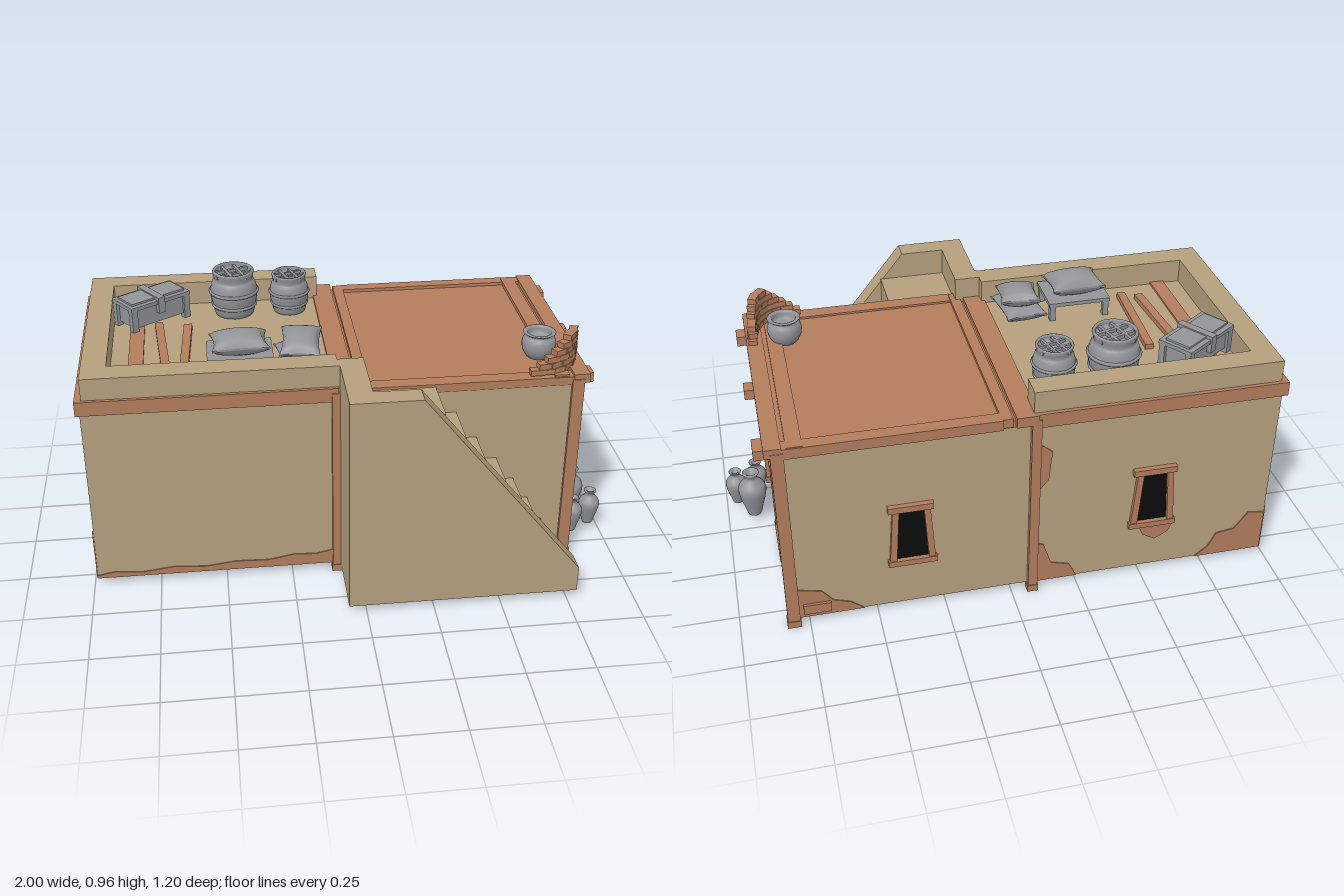
import * as THREE from 'three';

const material = (name, color, side = THREE.FrontSide) => {
  const m = new THREE.MeshStandardMaterial({ color, side });
  m.name = name;
  return m;
};

export function createModel() {
  const tan = material('sun dried plaster', 0xb5a07d, THREE.DoubleSide);
  const brown = material('clay brown', 0xb37d5d);
  const grey = material('plain grey', 0x929498, THREE.DoubleSide);
  const black = material('dark opening', 0x0b0b0b, THREE.DoubleSide);
  const model = new THREE.Group();
  model.name = 'mudBrickHouse';

  const add = (parent, name, geometry, mat) => {
    const mesh = new THREE.Mesh(geometry, mat);
    mesh.name = name;
    parent.add(mesh);
    return mesh;
  };
  // Box given by its low and high limits on each axis
  const box = (parent, name, mat, x0, x1, y0, y1, z0, z1) => {
    const mesh = add(parent, name, new THREE.BoxGeometry(x1 - x0, y1 - y0, z1 - z0), mat);
    mesh.position.set((x0 + x1) / 2, (y0 + y1) / 2, (z0 + z1) / 2);
    return mesh;
  };
  // Flat outline with a thickness
  const panel = (parent, name, mat, pts, depth, z = 0) => {
    const shape = new THREE.Shape(pts.map(([x, y]) => new THREE.Vector2(x, y)));
    const mesh = add(parent, name, new THREE.ExtrudeGeometry(shape, { depth, bevelEnabled: false }), mat);
    mesh.position.z = z;
    return mesh;
  };
  const group = (name, parent = model) => {
    const g = new THREE.Group();
    g.name = name;
    parent.add(g);
    return g;
  };
  const rect = (C, x0, x1, y0, y1) => new C([[x0, y0], [x1, y0], [x1, y1], [x0, y1]].map(p => new THREE.Vector2(...p)));

  // Hollow walls, open below
  const plan = rect(THREE.Shape, -0.985, 0.8, -0.315, 0.58);
  plan.holes.push(rect(THREE.Path, -0.981, 0.796, -0.311, 0.576));
  const walls = add(model, 'walls', new THREE.ExtrudeGeometry(plan, { depth: 0.73, bevelEnabled: false }), tan);
  walls.rotation.x = -Math.PI / 2;
  walls.position.y = 0.03;

  // Terrace with a parapet on three sides
  box(model, 'terraceFloor', tan, -0.98, -0.07, 0.745, 0.78, -0.575, 0.31);
  box(model, 'parapetFront', tan, -0.975, -0.07, 0.76, 0.873, 0.22, 0.315);
  box(model, 'parapetBack', tan, -0.975, -0.07, 0.76, 0.873, -0.58, -0.49);
  box(model, 'parapetLeft', tan, -0.975, -0.885, 0.76, 0.873, -0.49, 0.22);
  box(model, 'bandFront', brown, -1, -0.07, 0.735, 0.79, 0.31, 0.328);
  box(model, 'bandBack', brown, -1, -0.07, 0.735, 0.79, -0.595, -0.575);
  box(model, 'bandLeft', brown, -1, -0.97, 0.735, 0.79, -0.575, 0.31);

  // Lower roof with raised border boards
  box(model, 'roof', brown, -0.07, 0.83, 0.745, 0.772, -0.585, 0.318);
  box(model, 'roofBoardInner', brown, -0.085, -0.005, 0.75, 0.79, -0.6, 0.3);
  box(model, 'roofBoardSecond', brown, 0.005, 0.045, 0.75, 0.785, -0.59, 0.31);
  box(model, 'roofBoardOuter', brown, 0.72, 0.775, 0.755, 0.787, -0.59, 0.315);
  box(model, 'roofEdgeRight', brown, 0.79, 0.85, 0.755, 0.79, -0.595, 0.325);
  box(model, 'roofEdgeBack', brown, 0.04, 0.8, 0.745, 0.785, -0.595, -0.545);
  box(model, 'roofEdgeFront', brown, 0.04, 0.8, 0.748, 0.78, 0.265, 0.322);

  // Posts and foot blocks
  for (const [x0, x1, z0, z1] of [[-0.095, -0.065, 0.3, 0.332], [-0.095, -0.06, -0.6, -0.57],
    [0.785, 0.83, 0.285, 0.328], [0.785, 0.83, -0.597, -0.56]]) {
    box(model, 'cornerPost', brown, x0, x1, 0.015, 0.77, z0, z1);
    box(model, 'postFoot', brown, x0 - 0.003, x1 + 0.003, 0, 0.028, z0 - 0.003, z1 + 0.003);
  }

  // Wall faces: local x runs along the wall, local z points outwards
  const face = (name, x, z, turn) => {
    const g = group(name);
    g.position.set(x, 0, z);
    g.rotation.y = turn;
    return g;
  };
  const front = face('frontWallDetails', 0, 0.315, 0);
  const right = face('rightWallDetails', 0.8, 0, Math.PI / 2);
  const back = face('backWallDetails', 0, -0.58, Math.PI);
  const left = face('leftWallDetails', -0.985, 0, -Math.PI / 2);

  // Windows with crooked frames
  const window = (wall, u, y) => {
    const g = group('window', wall);
    g.position.set(u, y, 0);
    panel(g, 'windowOpening', black, [[-0.065, -0.115], [0.065, -0.115], [0.05, 0.11], [-0.055, 0.11]], 0.009, -0.006);
    panel(g, 'windowJamb', brown, [[-0.085, -0.125], [-0.06, -0.125], [-0.045, 0.115], [-0.068, 0.115]], 0.016);
    panel(g, 'windowJamb', brown, [[0.058, -0.125], [0.082, -0.125], [0.066, 0.115], [0.043, 0.115]], 0.016);
    box(g, 'windowLintel', brown, -0.085, 0.078, 0.105, 0.13, 0, 0.02);
    box(g, 'windowSill', brown, -0.09, 0.088, -0.135, -0.112, 0, 0.02);
  };
  window(back, -0.366, 0.35);
  window(back, 0.53, 0.36);
  window(left, -0.125, 0.37);

  // Doorway
  panel(right, 'doorOpening', black, [[0.035, 0.03], [0.215, 0.03], [0.215, 0.47], [0.055, 0.47]], 0.009, -0.006);
  panel(right, 'doorJamb', brown, [[0.015, 0.02], [0.04, 0.02], [0.06, 0.475], [0.033, 0.475]], 0.022);
  panel(right, 'doorJamb', brown, [[0.208, 0.02], [0.245, 0.02], [0.238, 0.475], [0.21, 0.475]], 0.022);
  box(right, 'doorLintel', brown, 0.03, 0.24, 0.465, 0.488, 0, 0.028);
  box(right, 'lintelStub', brown, -0.013, 0.035, 0.44, 0.465, 0, 0.02);
  box(right, 'threshold', brown, 0.015, 0.245, 0.014, 0.034, 0, 0.025);
  box(right, 'baseTrim', brown, -0.29, 0.57, 0.02, 0.032, -0.004, 0.01);
  box(right, 'baseBlock', brown, 0.24, 0.38, 0.025, 0.048, 0, 0.018);
  box(right, 'baseBlock', brown, 0.24, 0.31, 0.048, 0.075, 0, 0.018);
  panel(right, 'innerPost', brown, [[0.47, 0.03], [0.525, 0.03], [0.535, 0.755], [0.478, 0.755]], 0.022);

  // Beam ends under the roof edge
  for (const [u0, u1, out] of [[-0.26, -0.2, 0.083], [0.12, 0.175, 0.083], [0.22, 0.33, 0.035],
    [0.335, 0.425, 0.03], [0.475, 0.55, 0.083]]) {
    box(right, 'beamEnd', brown, u0, u1, 0.722, 0.76, -0.01, out);
  }

  // Patches of bare clay
  const patch = (wall, pts) => panel(wall, 'barePatch', brown, pts, 0.004, 0.0005);
  patch(front, [[-0.985, 0.03], [-0.095, 0.03], [-0.095, 0.09], [-0.16, 0.075], [-0.24, 0.08], [-0.34, 0.062],
    [-0.46, 0.066], [-0.58, 0.052], [-0.7, 0.06], [-0.82, 0.045], [-0.92, 0.055], [-0.985, 0.042]]);
  patch(right, [[-0.285, 0.03], [0.02, 0.03], [0.025, 0.13], [-0.04, 0.12], [-0.1, 0.155], [-0.2, 0.17], [-0.285, 0.15]]);
  patch(right, [[0.24, 0.05], [0.31, 0.075], [0.27, 0.12], [0.26, 0.22], [0.24, 0.27]]);
  patch(right, [[0.47, 0.05], [0.42, 0.08], [0.435, 0.14], [0.47, 0.18]]);
  patch(right, [[0.53, 0.2], [0.56, 0.22], [0.56, 0.43], [0.53, 0.43]]);
  patch(back, [[-0.785, 0.03], [-0.55, 0.03], [-0.6, 0.07], [-0.66, 0.09], [-0.7, 0.14], [-0.785, 0.16]]);
  patch(back, [[0.08, 0.03], [0.25, 0.03], [0.22, 0.09], [0.15, 0.11], [0.12, 0.2], [0.08, 0.22]]);
  patch(back, [[0.09, 0.45], [0.13, 0.5], [0.14, 0.62], [0.09, 0.66]]);
  patch(back, [[0.48, 0.225], [0.62, 0.225], [0.6, 0.18], [0.55, 0.15], [0.5, 0.18]]);
  patch(back, [[0.72, 0.03], [0.985, 0.03], [0.985, 0.2], [0.92, 0.21], [0.87, 0.14], [0.8, 0.13], [0.77, 0.07]]);
  patch(left, [[-0.58, 0.03], [-0.22, 0.03], [-0.3, 0.09], [-0.34, 0.2], [-0.43, 0.19], [-0.5, 0.24], [-0.58, 0.22]]);
  patch(left, [[0.315, 0.03], [0.315, 0.24], [0.26, 0.21], [0.22, 0.12], [0.12, 0.07], [0.08, 0.03]]);
  box(back, 'baseBlock', brown, -0.77, -0.67, 0.05, 0.09, 0, 0.015);

  // Outside stair: steps, sloping outer wall and landing parapet
  const stair = group('stair');
  const xs = [0.28, 0.36, 0.44, 0.52, 0.59, 0.65, 0.71, 0.788];
  const ys = [0.77, 0.66, 0.55, 0.455, 0.36, 0.27, 0.17, 0.075];
  const profile = [[0, 0.03], [0, ys[0]], [xs[0], ys[0]]];
  for (let i = 1; i < xs.length; i++) profile.push([xs[i - 1], ys[i]], [xs[i], ys[i]]);
  profile.push([0.788, 0.03]);
  panel(stair, 'steps', tan, profile, 0.205, 0.317);
  panel(stair, 'stairOuterWall', tan, [[-0.065, 0.03], [0.788, 0.03], [0.788, 0.13], [0.19, 0.873], [-0.065, 0.873]], 0.08, 0.52);
  box(stair, 'landingWall', tan, -0.065, 0.025, 0.03, 0.873, 0.316, 0.52);
  box(stair, 'landingParapet', tan, -0.07, 0.025, 0.76, 0.873, 0.26, 0.316);

  // Planks lying on the terrace
  box(model, 'floorPlank', brown, -0.82, -0.765, 0.775, 0.788, -0.49, 0.22);
  for (const [x, z, turn] of [[-0.695, -0.08, 0.075], [-0.607, -0.055, -0.05]]) {
    const plank = box(model, 'loosePlank', brown, -0.016, 0.016, 0.778, 0.8, -0.2, 0.2);
    plank.position.x = x;
    plank.position.z = z;
    plank.rotation.y = turn;
  }

  // Turned vessels
  const lathe = (parent, name, pts, x, y, z, s = 1, sy = s) => {
    const m = add(parent, name, new THREE.LatheGeometry(new THREE.SplineCurve(
      pts.map(p => new THREE.Vector2(...p))).getPoints(24), 20), grey);
    m.position.set(x, y, z);
    m.scale.set(s, sy, s);
    return m;
  };
  const jar = [[0.001, 0], [0.024, 0], [0.034, 0.03], [0.054, 0.105], [0.05, 0.14], [0.026, 0.168], [0.024, 0.182], [0.033, 0.198], [0.022, 0.2], [0.001, 0.17]];
  lathe(model, 'tallJar', jar, 0.895, 0.027, 0.065);
  lathe(model, 'smallJar', jar, 0.955, 0.027, 0.155, 0.75);
  lathe(model, 'smallJar', jar, 0.872, 0.027, 0.2, 0.75);
  lathe(model, 'roofPot', [[0.001, 0], [0.04, 0], [0.062, 0.035], [0.062, 0.07], [0.05, 0.09], [0.062, 0.1], [0.045, 0.1], [0.04, 0.075], [0.001, 0.07]], 0.705, 0.772, 0.12);

  // Bound baskets with cross bars on the lid
  const basket = (x, z, s, h) => {
    const g = group('basket');
    g.position.set(x, 0.778, z);
    g.scale.set(s, h, s);
    lathe(g, 'basketBody', [[0.001, 0], [0.07, 0], [0.084, 0.04], [0.094, 0.09], [0.086, 0.135], [0.076, 0.15], [0.082, 0.18], [0.07, 0.182], [0.066, 0.165], [0.001, 0.165]], 0, 0, 0);
    for (const [r, y] of [[0.085, 0.045], [0.093, 0.1], [0.076, 0.18]]) {
      const ring = add(g, 'basketRing', new THREE.TorusGeometry(r, 0.007, 6, 24), grey);
      ring.rotation.x = Math.PI / 2;
      ring.position.y = y;
    }
    for (let i = 0; i < 4; i++) {
      const bar = box(g, 'lidBar', grey, -0.07, 0.07, 0.165, 0.178, -0.006, 0.006);
      bar.rotation.y = i < 2 ? 0.3 : 0.3 + Math.PI / 2;
      bar.position.z = i === 0 ? 0.025 : i === 1 ? -0.025 : 0;
      bar.position.x = i === 2 ? 0.025 : i === 3 ? -0.025 : 0;
    }
  };
  basket(-0.41, -0.39, 1, 1);
  basket(-0.19, -0.39, 0.83, 0.87);

  // Chest with lid boards and legs
  const chest = group('chest');
  chest.position.set(-0.735, 0.778, -0.35);
  chest.rotation.y = 0.6;
  box(chest, 'chestBody', grey, -0.12, 0.12, 0.02, 0.1, -0.058, 0.058);
  box(chest, 'chestLid', grey, -0.135, 0.135, 0.097, 0.112, -0.07, 0.07);
  for (const s of [-1, 1]) {
    box(chest, 'chestStrap', grey, s * 0.065 - 0.055, s * 0.065 + 0.055, 0.11, 0.12, -0.05, 0.05);
    for (const t of [-1, 1]) box(chest, 'chestLeg', grey, s * 0.12 - 0.013, s * 0.12 + 0.013, 0, 0.1, t * 0.056 - 0.012, t * 0.056 + 0.012);
  }
  box(chest, 'chestClasp', grey, -0.015, 0.015, 0.06, 0.125, -0.076, 0.076);

  // Stuffed cushions: a box puffed in the middle and drawn in along its edges
  const cushion = (name, w, h, d, x, y, z, turn = 0, tilt = 0) => {
    const g = new THREE.BoxGeometry(2, 2, 2, 14, 6, 14);
    const p = g.attributes.position;
    for (let i = 0; i < p.count; i++) {
      const u = p.getX(i), v = p.getZ(i);
      const puff = 0.08 + 0.92 * Math.pow((1 - u * u) * (1 - v * v), 0.45);
      p.setXYZ(i, u * (0.88 + 0.12 * v * v) * w / 2, p.getY(i) * puff * h / 2, v * (0.88 + 0.12 * u * u) * d / 2);
    }
    g.computeVertexNormals();
    const m = add(model, name, g, grey);
    m.position.set(x, y, z);
    m.rotation.set(tilt, turn, 0);
  };
  cushion('tableCushion', 0.21, 0.09, 0.15, -0.41, 0.892, 0.115, 0.05);
  cushion('lowerSack', 0.16, 0.08, 0.2, -0.19, 0.82, 0.1, 0.1);
  cushion('upperSack', 0.15, 0.08, 0.19, -0.185, 0.872, 0.1, -0.12, 0.15);

  // Low table under the cushion
  box(model, 'tableTop', grey, -0.53, -0.29, 0.84, 0.855, 0.02, 0.205);
  for (const x of [-0.515, -0.305]) for (const z of [0.035, 0.19]) {
    box(model, 'tableLeg', grey, x - 0.011, x + 0.011, 0.778, 0.842, z - 0.011, z + 0.011);
  }

  // Corner heap of bricks, highest at the bend
  const bend = new THREE.QuadraticBezierCurve3(new THREE.Vector3(0.62, 0, 0.295),
    new THREE.Vector3(0.83, 0, 0.31), new THREE.Vector3(0.825, 0, 0.09));
  const bricks = group('brickHeap');
  for (let row = 0; row < 6; row++) {
    const count = 8 - row * 1.35;
    for (let i = 0; i < count; i++) {
      const t = 0.53 + (i - (count - 1) / 2) / 8 * 0.98;
      const at = bend.getPointAt(Math.min(1, Math.max(0, t)));
      const dir = bend.getTangentAt(Math.min(1, Math.max(0, t)));
      const brick = add(bricks, 'brick', new THREE.BoxGeometry(0.048, 0.021, 0.032), brown);
      brick.position.set(at.x, 0.797 + row * 0.023, at.z);
      brick.rotation.y = Math.atan2(-dir.z, dir.x) + 0.12 * Math.sin(i * 5 + row * 3);
    }
  }
  return model;
}
